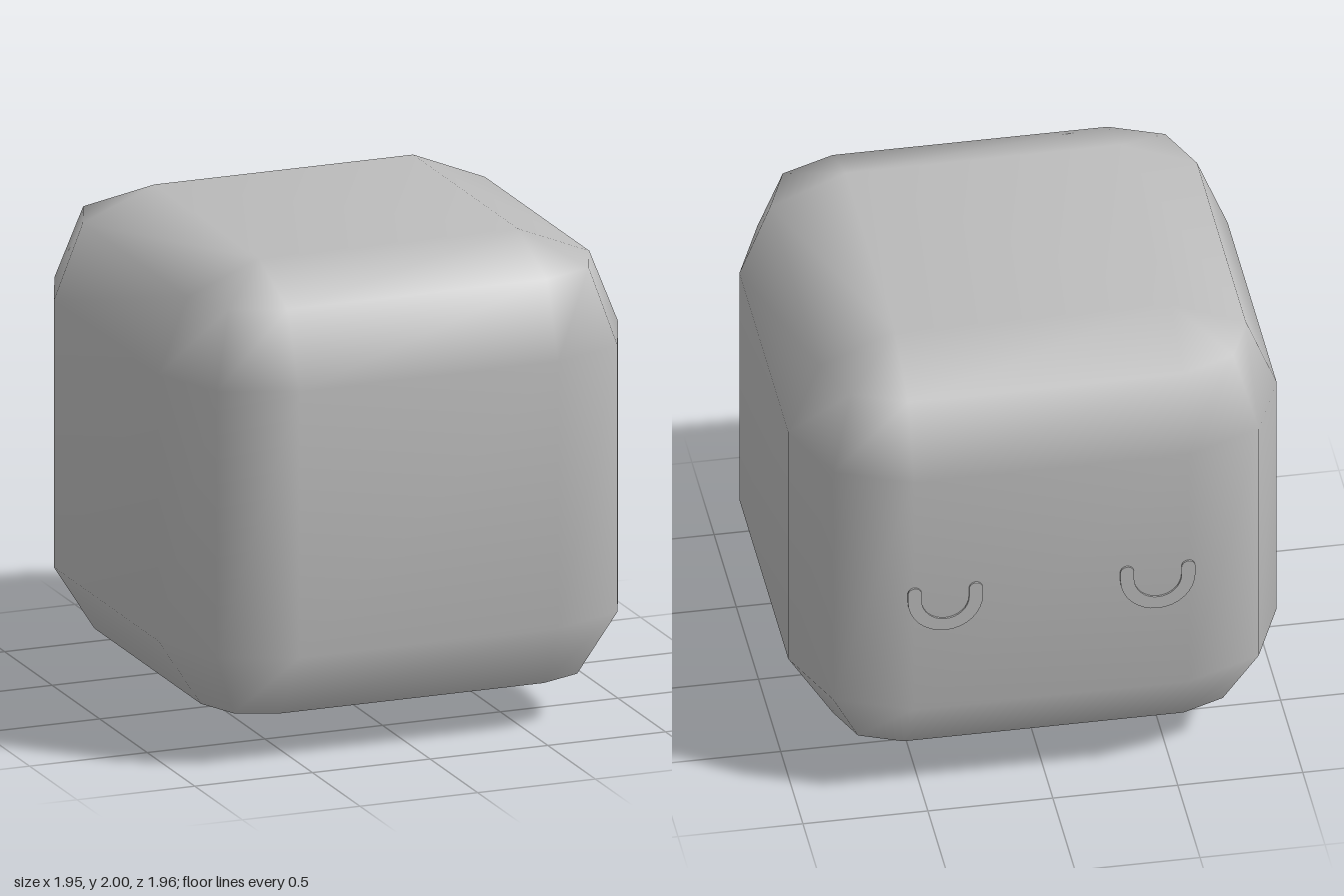
import * as THREE from 'three';
import { mergeVertices } from 'three/addons/utils/BufferGeometryUtils.js';

const grey = new THREE.MeshStandardMaterial({ color: 0xbcbcbc, side: THREE.DoubleSide });
grey.name = 'plain grey';

function add(parent, name, geometry, x = 0, y = 0, z = 0) {
  const mesh = new THREE.Mesh(geometry, grey);
  mesh.name = name;
  mesh.position.set(x, y, z);
  parent.add(mesh);
  return mesh;
}

// Hollow rounded cube, open below: rings of rounded squares [height, flat half, corner radius]
function shellGeometry() {
  const rings = [[0.2, 0.56, 0.24], [0.475, 0.55, 0.427], [1.57, 0.55, 0.427], [1.875, 0.55, 0.304], [2, 0.55, 0]];
  const pos = [], index = [], n = 12;
  for (const [y, flat, r] of rings) {
    for (let corner = 0; corner < 4; corner++) {
      const mid = (corner + 0.5) * Math.PI / 2;
      for (let k = -1; k <= 1; k++) {
        const a = mid + k * Math.PI / 4;
        pos.push(Math.sign(Math.cos(mid)) * flat + Math.cos(a) * r, y,
          Math.sign(Math.sin(mid)) * flat + Math.sin(a) * r);
      }
    }
  }
  for (let i = 0; i < rings.length - 1; i++) {
    for (let j = 0; j < n; j++) {
      const a = i * n + j, b = i * n + (j + 1) % n;
      index.push(a, a + n, b, b, a + n, b + n);
    }
  }
  const t = (rings.length - 1) * n;
  index.push(t, t + 6, t + 3, t, t + 9, t + 6);
  const g = new THREE.BufferGeometry();
  g.setAttribute('position', new THREE.Float32BufferAttribute(pos, 3));
  g.setIndex(index);
  const merged = mergeVertices(g, 1e-4);
  merged.computeVertexNormals();
  return merged;
}

// Closed, smiling eye: a thin U with round ends
function eyeGeometry() {
  const outer = 0.15, inner = 0.095, top = 0.035, cap = (outer - inner) / 2;
  const s = new THREE.Shape();
  s.moveTo(-outer, top);
  s.lineTo(-outer, 0);
  s.absarc(0, 0, outer, Math.PI, Math.PI * 2, false);
  s.lineTo(outer, top);
  s.absarc(inner + cap, top, cap, 0, Math.PI, false);
  s.lineTo(inner, 0);
  s.absarc(0, 0, inner, Math.PI * 2, Math.PI, true);
  s.lineTo(-inner, top);
  s.absarc(-inner - cap, top, cap, 0, Math.PI, false);
  return new THREE.ExtrudeGeometry(s, { depth: 0.009, bevelEnabled: false, curveSegments: 8 });
}

// Tapered eight-sided limb running from a to b
function limb(parent, name, a, b, rA, rB) {
  const from = new THREE.Vector3(...a), to = new THREE.Vector3(...b);
  const dir = to.clone().sub(from);
  const mesh = add(parent, name, new THREE.CylinderGeometry(rB, rA, dir.length(), 8));
  mesh.position.copy(from).add(to).multiplyScalar(0.5);
  mesh.quaternion.setFromUnitVectors(new THREE.Vector3(0, 1, 0), dir.normalize());
  return mesh;
}

export function createModel() {
  const model = new THREE.Group();
  model.name = 'cubeCreature';
  add(model, 'shell', shellGeometry(), 0, 0, 0.01);

  // Small body hidden inside the shell
  const torso = add(model, 'torso', new THREE.SphereGeometry(0.4, 8, 6), 0, 0.8, 0.1);
  torso.scale.set(1, 1.1, 0.8);

  for (const side of [1, -1]) {
    const label = side > 0 ? 'left' : 'right';
    add(model, label + 'Eye', eyeGeometry(), side * 0.425, 1.0, -0.975);

    // Legs slant forward as they rise, ending in flat soles facing back
    const leg = limb(model, label + 'Leg', [side * 0.31, 0.2, -0.13], [side * 0.27, 0.6, 0.27], 0.28, 0.24);
    leg.scale.x = 0.86;

    // Arms reach outward and down; the left hand pokes through the shell
    const reach = side > 0 ? 0.727 : 0.69;
    limb(model, label + 'Arm', [side * 0.25, 0.85, 0], [side * reach, 0.42, -0.2], 0.17, 0.19);
    add(model, label + 'Hand', new THREE.SphereGeometry(0.2, 10, 8), side * reach, 0.42, -0.2);
  }
  return model;
}
